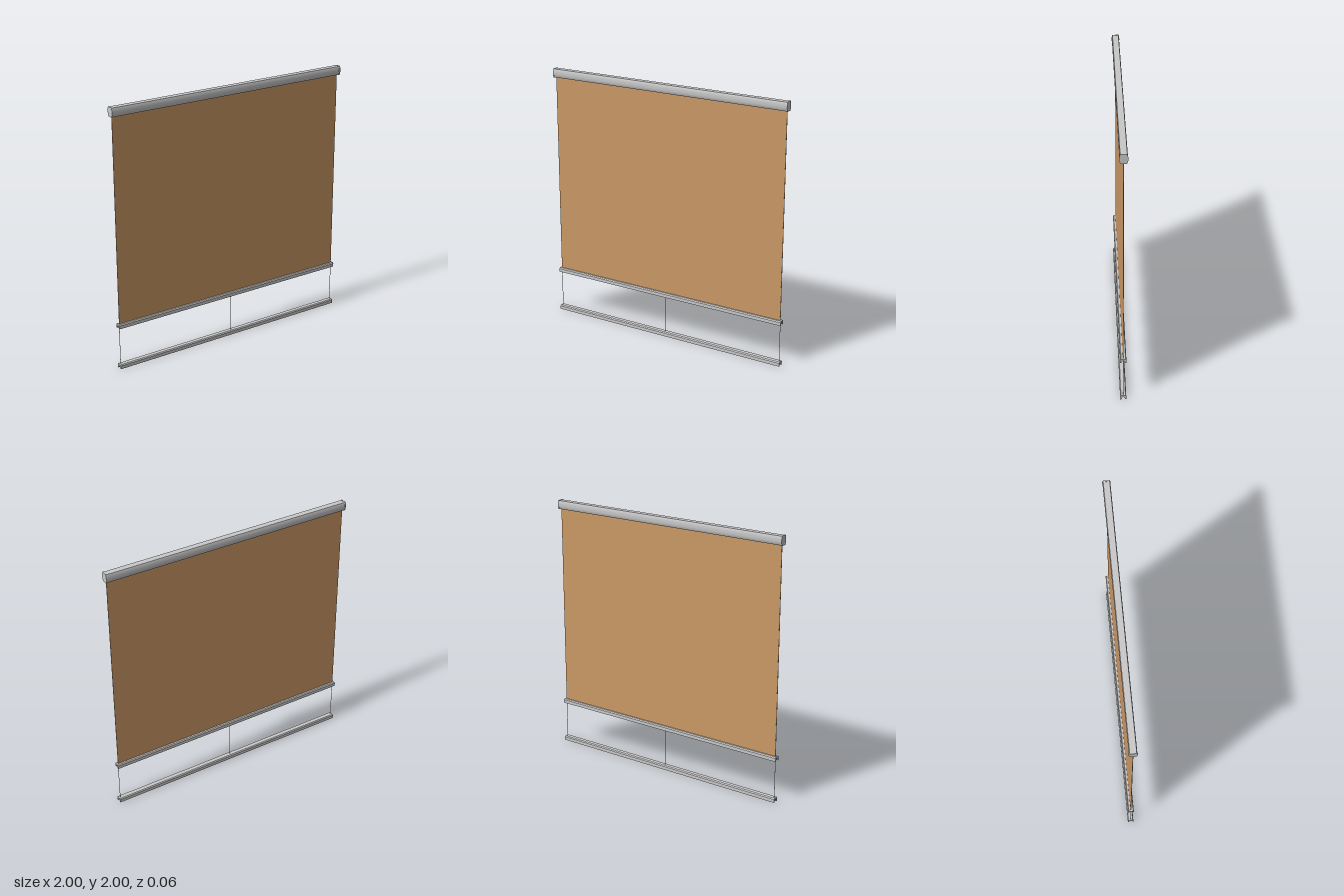
import * as THREE from 'three';
import { toCreasedNormals } from 'three/addons/utils/BufferGeometryUtils.js';

const metal = new THREE.MeshStandardMaterial({ color: 0xc8c8c8 });
metal.name = 'light grey metal';
const cloth = new THREE.MeshStandardMaterial({ color: 0xcc9966 });
cloth.name = 'tan fabric';

// Extrudes a (z, y) outline along x, centred on x = 0
function alongX(shape, length) {
  const g = new THREE.ExtrudeGeometry(shape, { depth: length, bevelEnabled: false, curveSegments: 8 });
  g.translate(0, 0, -length / 2).rotateY(Math.PI / 2);
  return toCreasedNormals(g, 0.6);
}

// Head rail outline: flat top, bulging sides, narrower bottom
function headShape(inset, slot) {
  const s = new THREE.Shape();
  const w = 0.03 - inset, top = 2 - inset, low = 1.93 + inset;
  s.moveTo(-0.02, low);
  if (slot) { // recess where the fabric enters
    s.lineTo(-0.012, low);
    s.lineTo(-0.012, low + 0.012);
    s.lineTo(0.012, low + 0.012);
    s.lineTo(0.012, low);
  }
  s.lineTo(0.02, low);
  s.quadraticCurveTo(w, 1.945, w, 1.965);
  s.quadraticCurveTo(w, 1.985, 0.023, top);
  s.lineTo(-0.023, top);
  s.quadraticCurveTo(-w, 1.985, -w, 1.965);
  s.quadraticCurveTo(-w, 1.945, -0.02, low);
  return s;
}

// Small rail outline: channel open underneath with a peaked inside
function channelShape(y) {
  const pts = [[-0.022, 0], [-0.014, 0], [-0.014, 0.008], [0, 0.024], [0.014, 0.008], [0.014, 0],
    [0.022, 0], [0.022, 0.026], [0.016, 0.034], [-0.016, 0.034], [-0.022, 0.026]];
  return new THREE.Shape(pts.map(([a, b]) => new THREE.Vector2(a, y + b)));
}

export function createModel() {
  const model = new THREE.Group();
  model.name = 'rollerShade';
  const add = (name, geometry, material, x = 0, y = 0) => {
    const mesh = new THREE.Mesh(geometry, material);
    mesh.name = name;
    mesh.position.set(x, y, 0);
    model.add(mesh);
  };

  // Head rail with its end caps
  add('headRail', alongX(headShape(0.002, true), 1.98), metal);
  for (const side of [1, -1]) {
    add(side > 0 ? 'leftEndCap' : 'rightEndCap', alongX(headShape(0, false), 0.01), metal, side * 0.995);
  }

  // Fabric panel
  add('fabric', new THREE.BoxGeometry(1.974, 1.59, 0.005), cloth, 0, 1.15);

  // Middle and bottom rails
  add('middleRail', alongX(channelShape(0.327), 2), metal);
  add('bottomRail', alongX(channelShape(0), 2), metal);

  // Guide cords between the rails; outer ones continue beside the fabric
  for (const x of [-0.988, 0, 0.988]) {
    const height = x === 0 ? 0.33 : 1.92;
    add('cord', new THREE.CylinderGeometry(0.002, 0.002, height, 8), metal, x, 0.02 + height / 2);
  }
  return model;
}
